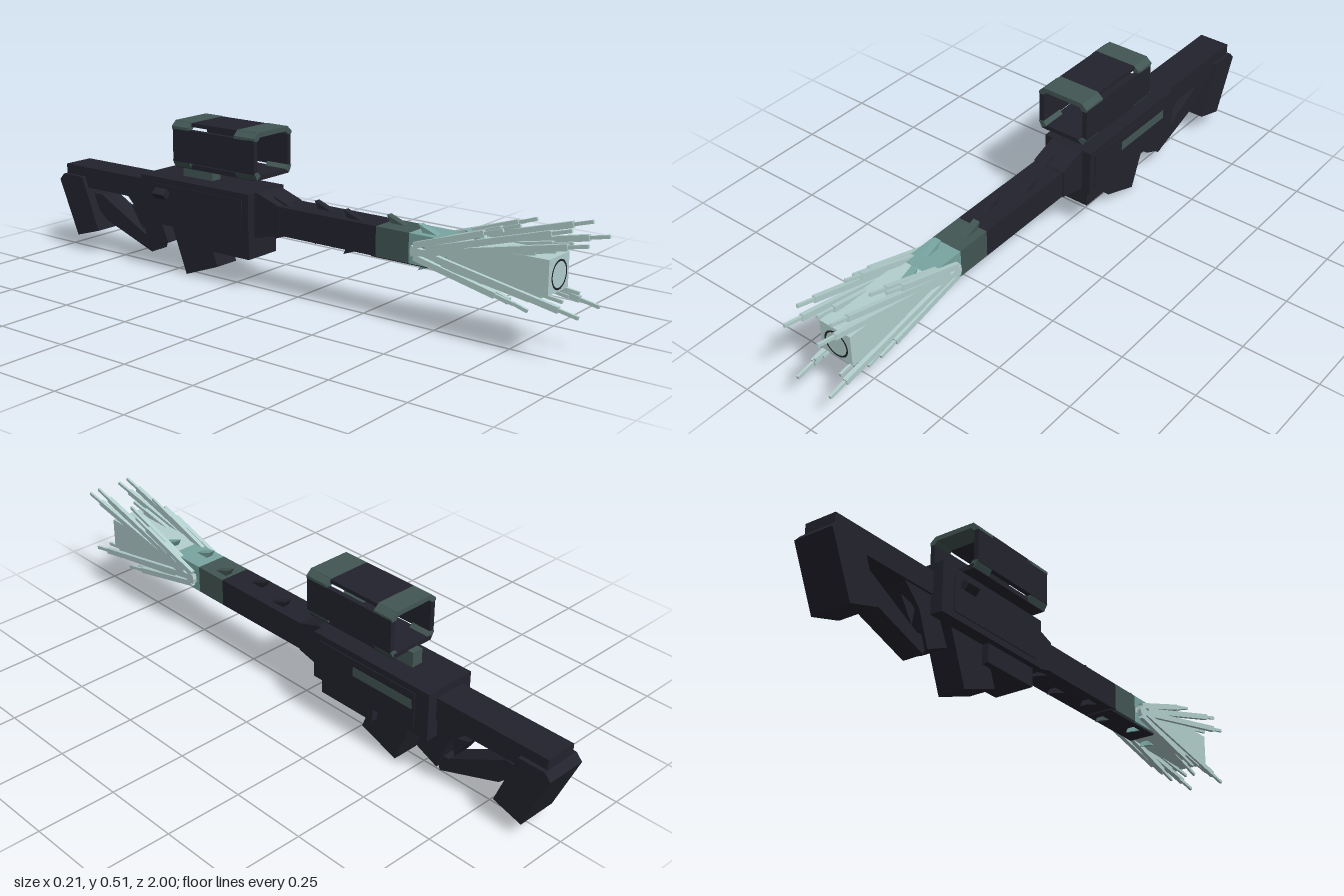
import * as THREE from 'three';

const CX = 0.0105; // centre plane of the body (side knob shifts it off zero)

export function createModel() {
  const root = new THREE.Group();
  root.name = 'longRifle';
  const mat = (name, color) => {
    const m = new THREE.MeshStandardMaterial({ color });
    m.name = name;
    return m;
  };
  const dark = mat('charcoal', 0x23232e);
  const green = mat('darkGreen', 0x425654);
  const teal = mat('teal', 0x79a5a2);
  const pale = mat('paleIce', 0xb3d0ce);

  const add = (name, geo, m, parent = root) => {
    const mesh = new THREE.Mesh(geo, m);
    mesh.name = name;
    parent.add(mesh);
    return mesh;
  };
  // box given by its limits; x limits are absolute
  const box = (name, m, x0, x1, y0, y1, z0, z1, parent) => {
    const mesh = add(name, new THREE.BoxGeometry(x1 - x0, y1 - y0, z1 - z0), m, parent);
    mesh.position.set((x0 + x1) / 2, (y0 + y1) / 2, (z0 + z1) / 2);
    return mesh;
  };
  const midBox = (name, m, w, y0, y1, z0, z1, parent) =>
    box(name, m, CX - w / 2, CX + w / 2, y0, y1, z0, z1, parent);
  // side outline of [z, y] points, extruded across the width
  const slab = (name, m, w, pts, x = CX, parent = root) => {
    const shape = new THREE.Shape(pts.map(([z, y]) => new THREE.Vector2(z, y)));
    const geo = new THREE.ExtrudeGeometry(shape, { depth: w, bevelEnabled: false });
    geo.translate(0, 0, -w / 2).rotateY(-Math.PI / 2);
    const mesh = add(name, geo, m, parent);
    mesh.position.x = x;
    return mesh;
  };

  // Receiver
  midBox('receiver', dark, 0.172, 0.165, 0.32, -0.59, -0.135);
  midBox('receiverSidePanel', dark, 0.178, 0.185, 0.3, -0.54, -0.16);
  midBox('lowerReceiver', dark, 0.133, 0.105, 0.17, -0.36, -0.15);
  slab('receiverNose', dark, 0.112, [[-0.14, 0.175], [-0.14, 0.32], [-0.12, 0.32], [-0.04, 0.292], [-0.04, 0.2]]);
  box('ejectionPort', green, 0.098, 0.1005, 0.245, 0.275, -0.53, -0.3);
  const knob = box('sideKnob', dark, -0.102, -0.076, 0.26, 0.284, -0.515, -0.465);
  knob.rotation.z = 0.7;

  // Magazine, grip and stock
  slab('magazine', dark, 0.091, [[-0.345, 0.168], [-0.3, 0.05], [-0.435, 0.001], [-0.5, 0.168]]);
  slab('grip', dark, 0.091, [[-0.55, 0.17], [-0.515, 0.095], [-0.595, 0.06], [-0.635, 0.165], [-0.7, 0.228], [-0.59, 0.228]]);
  slab('stockStrut', dark, 0.07, [[-0.58, 0.1], [-0.6, 0.045], [-0.81, 0.12], [-0.9, 0.2], [-0.83, 0.205], [-0.63, 0.1]]);
  slab('stockSpur', dark, 0.06, [[-0.635, 0.175], [-0.695, 0.19], [-0.645, 0.115]]);
  midBox('stockBar', dark, 0.106, 0.225, 0.295, -0.978, -0.59);
  slab('buttPad', dark, 0.133, [[-0.82, 0.085], [-0.92, 0.055], [-1, 0.24], [-0.98, 0.262], [-0.89, 0.262]]);

  // Barrel in coloured stretches
  const stretches = [[-0.14, 0.32, dark], [0.32, 0.435, green], [0.435, 0.565, teal]];
  for (const [z0, z1, m] of stretches) midBox('barrel', m, 0.104, 0.2, 0.29, z0, z1);
  midBox('barrelUnderPlate', dark, 0.09, 0.195, 0.201, 0.3, 0.56);
  slab('muzzle', pale, 0.111, [[0.565, 0.2], [0.885, 0.192], [0.885, 0.293], [0.565, 0.29]]);
  const ring = add('boreRing', new THREE.RingGeometry(0.037, 0.043, 32), dark);
  ring.position.set(0.012, 0.24, 0.8862);

  // Alternating wedge fins along the top and bottom of the barrel
  for (let i = 0; i < 6; i++) {
    const z = -0.08 + i * 0.133;
    const m = [dark, dark, dark, green, teal, teal][i];
    const x = CX + (i % 2 ? 0.015 : -0.017);
    for (const s of [1, -1]) {
      const y = (d) => 0.245 + s * d;
      const pts = [[z + 0.07, y(0.042)], [z, y(0.068)], [z + 0.015, y(0.042)]];
      slab('barrelFin', m, 0.023, s > 0 ? pts : pts.reverse(), x);
    }
  }

  // Fan of rods around the muzzle: root z, root y, tip z, tip y, sideways offset
  const rods = [
    [0.45, 0.235, 1.0, 0.352, 0.06], [0.5, 0.255, 0.95, 0.385, 0.06],
    [0.44, 0.25, 0.79, 0.37, 0.045], [0.46, 0.26, 0.745, 0.352, 0.06],
    [0.5, 0.24, 0.9, 0.318, 0.047], [0.45, 0.25, 0.98, 0.152, 0.06],
    [0.5, 0.235, 0.925, 0.183, 0.047], [0.44, 0.245, 0.82, 0.135, 0.045],
    [0.46, 0.225, 0.785, 0.152, 0.06], [0.55, 0.22, 0.89, 0.165, 0.053],
  ];
  for (const side of [-1, 1]) {
    for (const [z0, y0, z1, y1, off] of rods) {
      const rod = new THREE.Group();
      rod.name = 'muzzleRod';
      rod.position.set(CX + side * off, y0, z0);
      rod.rotation.x = -Math.atan2(y1 - y0, z1 - z0);
      const len = Math.hypot(z1 - z0, y1 - y0);
      box('rodShaft', pale, -0.007, 0.007, -0.009, 0.009, 0, len - 0.06, rod);
      box('rodTip', pale, -0.004, 0.004, -0.005, 0.005, len - 0.06, len, rod);
      root.add(rod);
    }
  }

  // Scope: open rectangular tube with chamfered end frames
  const scope = new THREE.Group();
  scope.name = 'scope';
  root.add(scope);
  midBox('scopeMount', green, 0.038, 0.315, 0.368, -0.465, -0.34, scope);
  midBox('scopeFloor', dark, 0.153, 0.364, 0.379, -0.445, -0.108, scope);
  midBox('scopeTop', dark, 0.147, 0.499, 0.511, -0.376, -0.188, scope);
  for (const s of [-1, 1]) {
    const x = CX + s * 0.0805;
    box('scopeSide', dark, x - 0.008, x + 0.008, 0.385, 0.49, -0.442, -0.108, scope);
  }
  for (const [z0, z1] of [[-0.445, -0.375], [-0.188, -0.105]]) {
    midBox('scopeFrameTop', green, 0.142, 0.498, 0.513, z0, z1, scope);
    for (const s of [-1, 1]) {
      // chamfer pieces in the upper and lower corners, [x, y] outlines
      const corners = [
        [[0.0885, 0.488], [0.0885, 0.497], [0.07, 0.513], [0.062, 0.499], [0.0725, 0.487]],
        [[0.0885, 0.388], [0.0725, 0.391], [0.06, 0.378], [0.0765, 0.366]],
      ];
      for (const c of corners) {
        const shape = new THREE.Shape(c.map(([x, y]) => new THREE.Vector2(CX + s * x, y)));
        const geo = new THREE.ExtrudeGeometry(shape, { depth: z1 - z0, bevelEnabled: false });
        add('scopeFrameCorner', geo, green, scope).position.z = z0;
      }
    }
  }
  return root;
}
